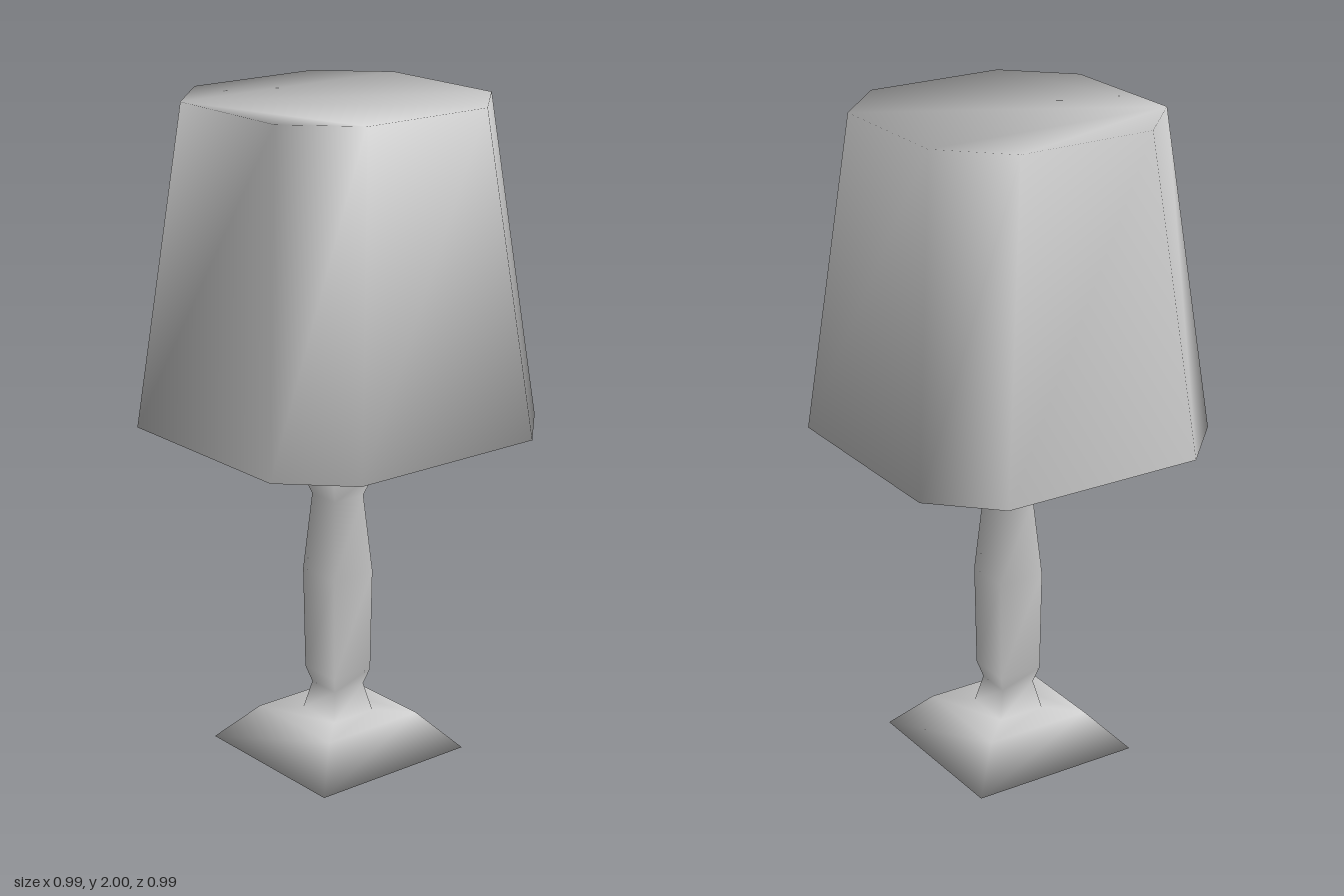
import * as THREE from 'three';

// Horizontal outlines, listed from +x towards +z
const square = (h) => [[-h, h], [-h, -h], [h, -h], [h, h]];
const octagon = (h, c) => [
  [-c, h], [-h, c], [-h, -c], [-c, -h], [c, -h], [h, -c], [h, c], [c, h],
];

// Closed, smooth-shaded solid through a stack of { y, outline } rings
function loft(rings) {
  const n = rings[0].outline.length;
  const positions = [];
  const index = [];
  for (const { y, outline } of rings) {
    for (const [x, z] of outline) positions.push(x, y, z);
  }
  for (let r = 0; r < rings.length - 1; r++) {
    for (let i = 0; i < n; i++) {
      const a = r * n + i;
      const b = r * n + ((i + 1) % n);
      index.push(a, a + n, b, b, a + n, b + n);
    }
  }
  // Bottom and top caps
  const top = (rings.length - 1) * n;
  for (let i = 1; i < n - 1; i++) {
    index.push(0, i, i + 1);
    index.push(top, top + i + 1, top + i);
  }
  const geometry = new THREE.BufferGeometry();
  geometry.setAttribute('position', new THREE.Float32BufferAttribute(positions, 3));
  geometry.setIndex(index);
  geometry.computeVertexNormals();
  return geometry;
}

export function createModel() {
  const lamp = new THREE.Group();
  lamp.name = 'tableLamp';
  const grey = new THREE.MeshStandardMaterial({ color: 0xcccccc });
  grey.name = 'light grey';

  const add = (name, geometry) => {
    const mesh = new THREE.Mesh(geometry, grey);
    mesh.name = name;
    lamp.add(mesh);
  };

  // Sloped square foot flowing into the turned square stem: [y, half width]
  const profile = [
    [0, 0.27], [0.11, 0.17], [0.112, 0.075], [0.2, 0.055], [0.25, 0.07],
    [0.57, 0.074], [0.81, 0.054], [0.88, 0.078], [1.05, 0.06],
  ];
  add('baseAndStem', loft(profile.map(([y, h]) => ({ y, outline: square(h) }))));

  // Tapered shade with cut corners, closed above and below
  add('shade', loft([
    { y: 1.04, outline: octagon(0.495, 0.318) },
    { y: 2, outline: octagon(0.391, 0.215) },
  ]));

  return lamp;
}
